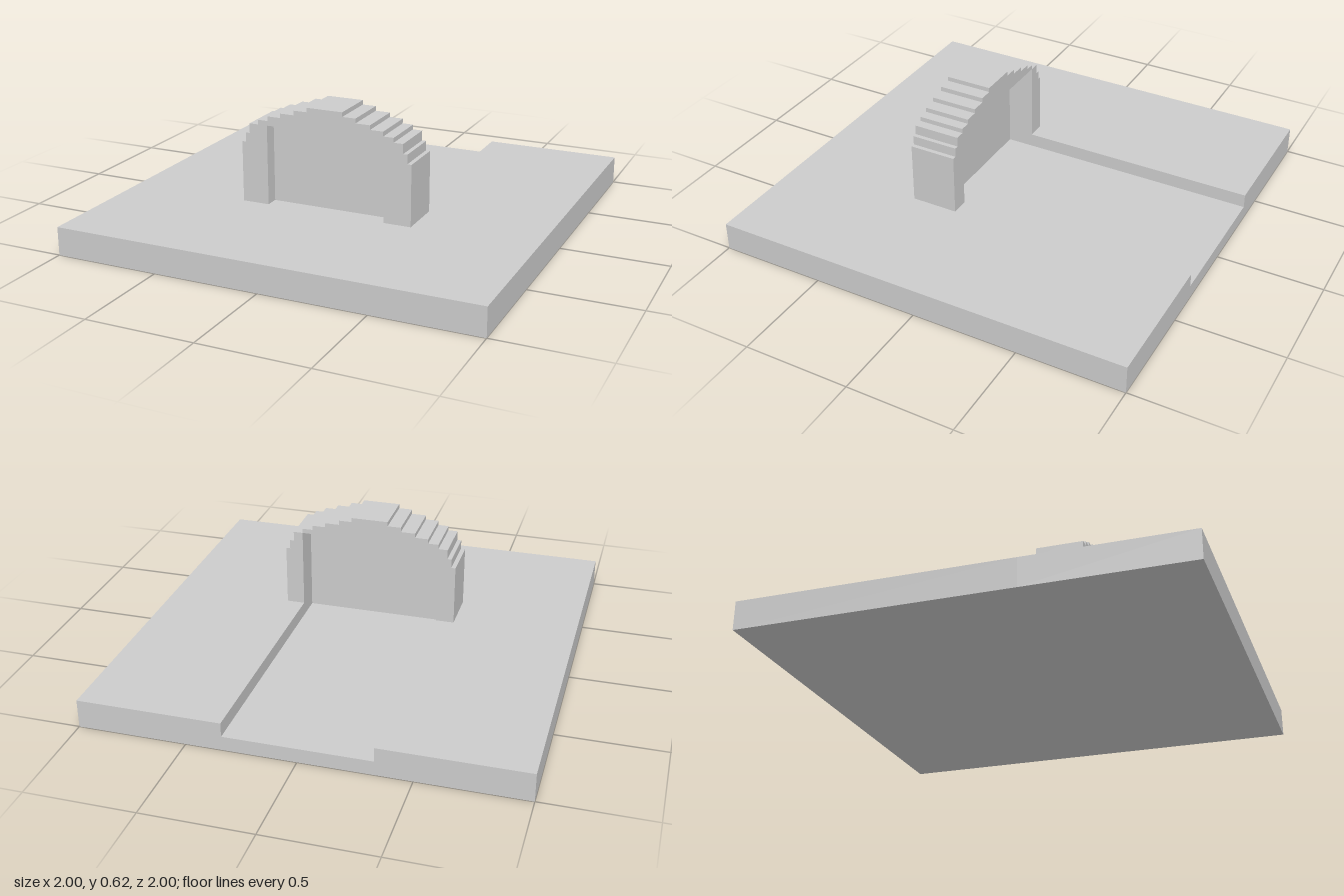
import * as THREE from 'three';

const BASE_TOP = 0.133;
const FLOOR = 0.067;
const CHANNEL = 0.335; // half width of the sunken channel and rear opening
const OPENING_TOP = 0.513;

// Outer arch steps from the edge inward: [half width, height]
const STEPS = [
  [0.42, 0.423], [0.4, 0.467], [0.38, 0.513], [0.335, 0.535],
  [0.285, 0.557], [0.222, 0.578], [0.152, 0.6], [0.088, 0.621],
];

export function createModel() {
  const group = new THREE.Group();
  const material = new THREE.MeshStandardMaterial({ color: 0xcccccc, flatShading: true });

  const add = (name, geometry) => {
    const mesh = new THREE.Mesh(geometry, material);
    mesh.name = name;
    group.add(mesh);
  };

  const extrude = (points, depth) =>
    new THREE.ExtrudeGeometry(new THREE.Shape(points.map(([x, y]) => new THREE.Vector2(x, y))), {
      depth, bevelEnabled: false,
    });

  // Stepped arch slice between two depths, with an optional doorway cut up from the ground
  const archSlice = (name, z0, z1, opening) => {
    const right = [];
    let y = BASE_TOP;
    for (const [x, top] of STEPS) {
      right.push([x, y], [x, top]);
      y = top;
    }
    const left = right.map(([x, h]) => [-x, h]).reverse();
    const doorway = opening
      ? [[-opening, BASE_TOP], [-opening, OPENING_TOP], [opening, OPENING_TOP], [opening, BASE_TOP]]
      : [];
    add(name, extrude([...right, ...left, ...doorway], z1 - z0).translate(0, 0, z0));
  };

  // Ground: solid front part and a rear part with the sunken channel
  const channelEnd = 0.26;
  add('frontGround', new THREE.BoxGeometry(2, BASE_TOP, 1 - channelEnd)
    .translate(0, BASE_TOP / 2, (1 + channelEnd) / 2));
  add('channelGround', extrude([
    [-1, 0], [1, 0], [1, BASE_TOP], [CHANNEL, BASE_TOP],
    [CHANNEL, FLOOR], [-CHANNEL, FLOOR], [-CHANNEL, BASE_TOP], [-1, BASE_TOP],
  ], 1 + channelEnd).translate(0, 0, -1));

  // Arch: open frames in front and behind, closed by a thin wall
  archSlice('rearArch', 0.133, channelEnd, CHANNEL);
  archSlice('closedWall', channelEnd, 0.29, 0);
  archSlice('frontArch', 0.29, 0.355, 0.29);

  return group;
}
